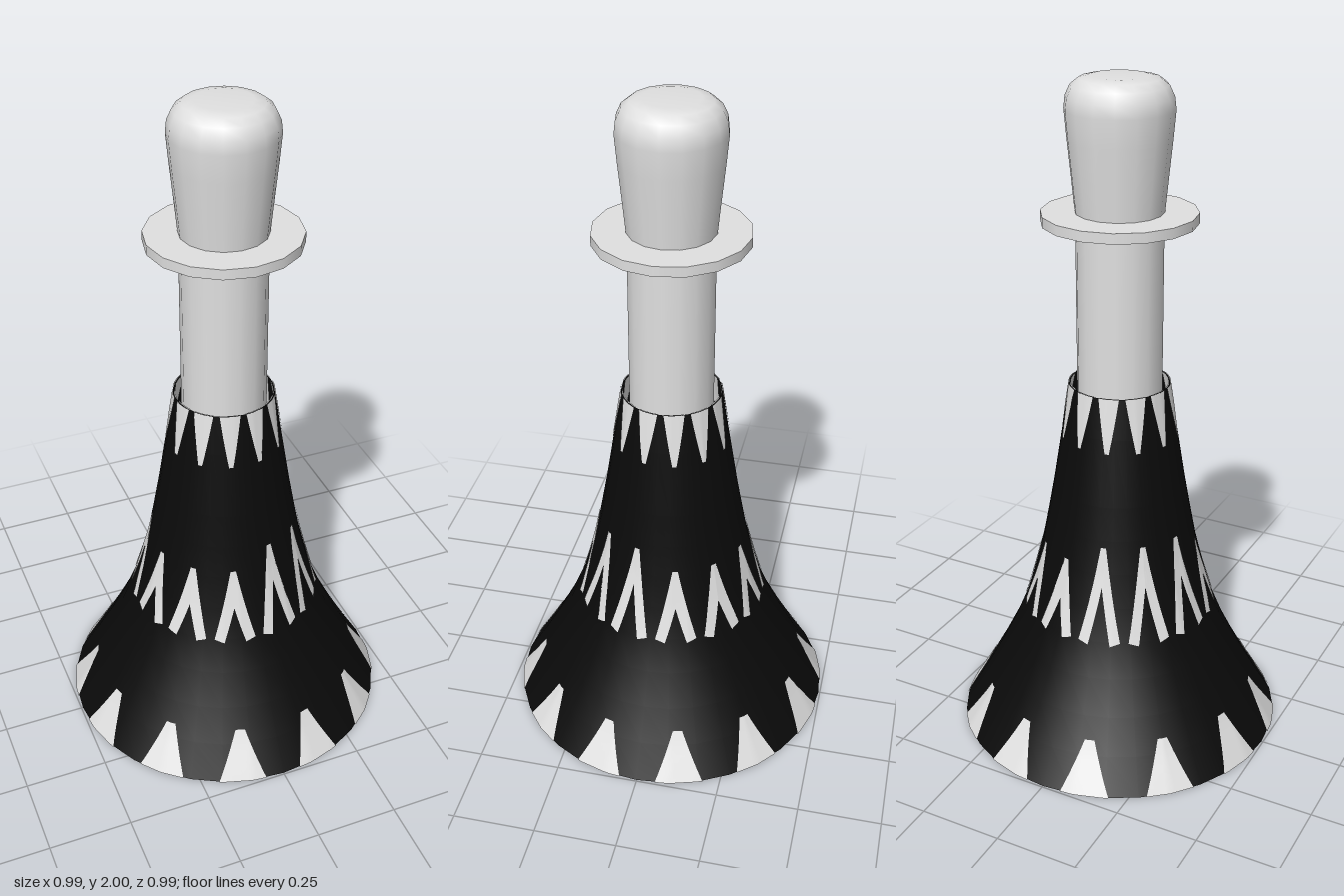
import * as THREE from 'three';
import { mergeGeometries } from 'three/addons/utils/BufferGeometryUtils.js';

const SIDES = 32;
const skirtProfile = [
  [0.495, 0], [0.435, 0.1], [0.38, 0.2], [0.33, 0.3], [0.289, 0.4], [0.26, 0.5],
  [0.235, 0.6], [0.216, 0.7], [0.198, 0.8], [0.166, 1.0], [0.147, 1.12],
];

const lathe = (points, sides) =>
  new THREE.LatheGeometry(points.map(([r, y]) => new THREE.Vector2(r, y)), sides);

// Radius of the faceted skirt at a height and angle
function skirtRadius(y, angle) {
  let i = 1;
  while (i < skirtProfile.length - 1 && skirtProfile[i][1] < y) i++;
  const [r0, y0] = skirtProfile[i - 1];
  const [r1, y1] = skirtProfile[i];
  const r = r0 + (r1 - r0) * (y - y0) / (y1 - y0);
  const step = 2 * Math.PI / SIDES;
  const local = ((angle % step) + step) % step - step / 2;
  return r * Math.cos(step / 2) / Math.cos(local);
}

// Thin painted patch following the skirt; corners are [degrees, height]:
// lower left, lower right, upper right, upper left
function patch(corners, offset, n = 8) {
  const [a, b, c, d] = corners;
  const positions = [];
  const index = [];
  for (let j = 0; j <= n; j++) {
    for (let i = 0; i <= n; i++) {
      const u = i / n, v = j / n;
      const mix = k => (a[k] * (1 - u) + b[k] * u) * (1 - v) + (d[k] * (1 - u) + c[k] * u) * v;
      const angle = THREE.MathUtils.degToRad(mix(0));
      const y = mix(1);
      const r = skirtRadius(y, angle) + offset;
      positions.push(r * Math.sin(angle), y, r * Math.cos(angle));
      if (i < n && j < n) {
        const p = j * (n + 1) + i;
        index.push(p, p + 1, p + n + 2, p, p + n + 2, p + n + 1);
      }
    }
  }
  const geometry = new THREE.BufferGeometry();
  geometry.setAttribute('position', new THREE.Float32BufferAttribute(positions, 3));
  geometry.setIndex(index);
  geometry.computeVertexNormals();
  return geometry;
}

export function createModel() {
  const group = new THREE.Group();
  const white = new THREE.MeshStandardMaterial({ color: 0xe0e0e0, side: THREE.DoubleSide });
  white.name = 'white';
  const black = new THREE.MeshStandardMaterial({ color: 0x0a0a0a, side: THREE.DoubleSide });
  black.name = 'black';

  const add = (name, geometry, material) => {
    const mesh = new THREE.Mesh(geometry, material);
    mesh.name = name;
    group.add(mesh);
    return mesh;
  };

  // Open flared skirt
  add('skirt', lathe(skirtProfile, SIDES), black);

  // Twelve repeats of each motif, on the outside and the inside of the skirt
  const band = (name, motif) => {
    const parts = [];
    for (let k = 0; k < 12; k++) {
      const centre = 15 + 30 * k;
      for (const offset of [0.003, -0.003]) {
        for (const quad of motif(k)) {
          parts.push(patch(quad.map(([a, y]) => [centre + a, y]), offset));
        }
      }
    }
    add(name, mergeGeometries(parts), white);
  };

  // Teeth along the hem
  band('hemTeeth', () => [[[-8.5, 0], [8.5, 0], [2, 0.14], [-2, 0.14]]]);

  // Chevron ring around the middle, taller in two opposite quarters
  band('chevrons', k => {
    const peak = Math.floor(k / 3) % 2 === 0 ? 0.68 : 0.62;
    const inner = peak - 0.12;
    return [
      [[-12.5, 0.4], [-6.5, 0.39], [0, inner], [-2, peak]],
      [[6.5, 0.39], [12.5, 0.4], [2, peak], [0, inner]],
      [[0, inner], [0, inner], [2, peak], [-2, peak]],
    ];
  });

  // Hanging points around the collar
  band('collarPoints', () => [[[-2, 0.96], [2, 0.96], [11.5, 1.12], [-11.5, 1.12]]]);

  // Neck and the tapered core that ends inside the skirt
  add('neckAndCore', lathe([
    [0, 0.05], [0.055, 0.052], [0.072, 0.065], [0.08, 0.09], [0.107, 0.29], [0.125, 0.48],
    [0.125, 0.6], [0.125, 1.61],
  ], 16), white);

  // Flat round flange
  const flange = add('flange', new THREE.CylinderGeometry(0.223, 0.223, 0.03, 16), white);
  flange.position.y = 1.613;

  // Rounded knob
  add('knob', lathe([
    [0.126, 1.625], [0.136, 1.73], [0.146, 1.83], [0.153, 1.91], [0.149, 1.945],
    [0.135, 1.975], [0.112, 1.993], [0.08, 2.0], [0, 2.0],
  ], 16), white);

  return group;
}
